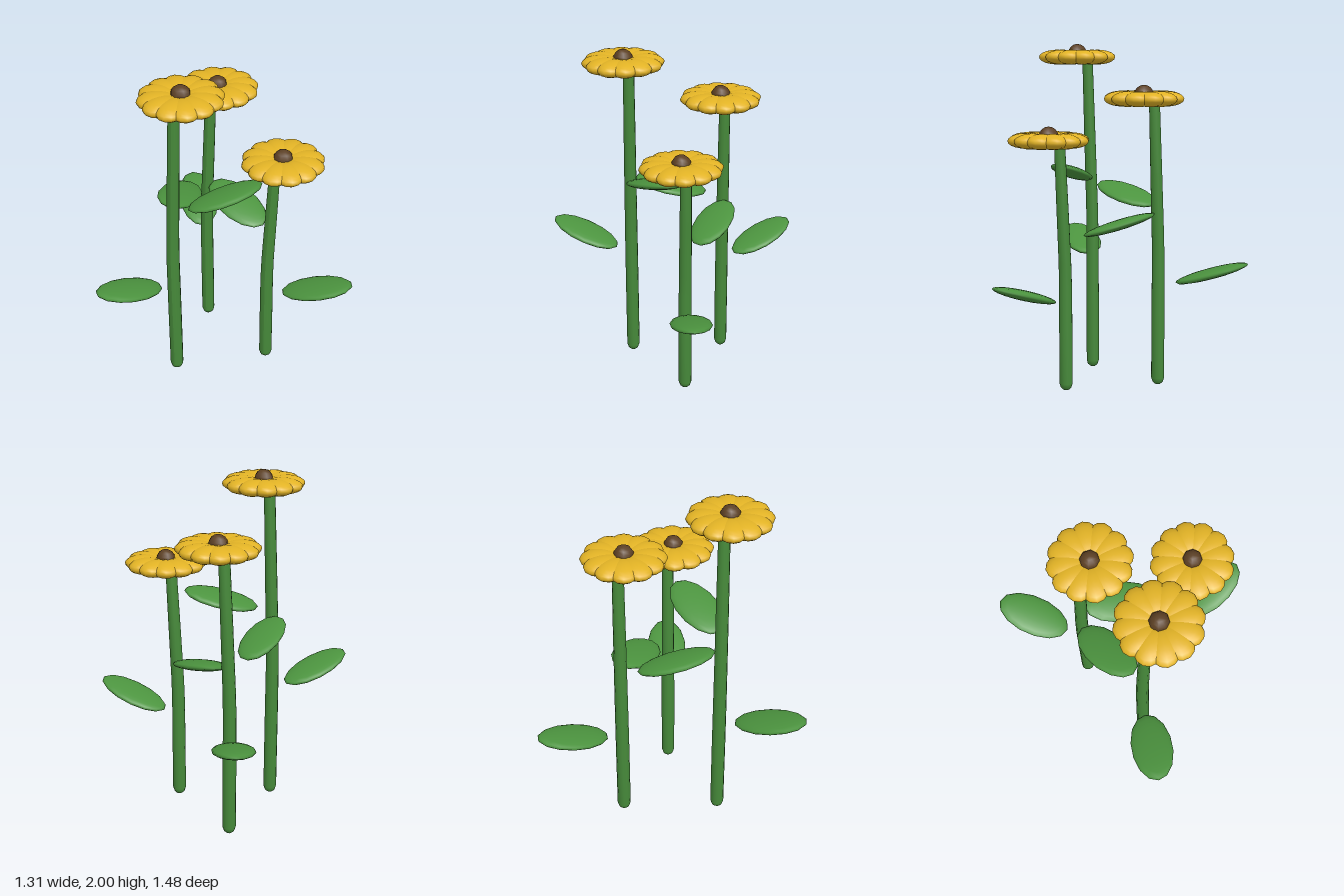
import * as THREE from 'three';

const mat = (name, color) => {
  const m = new THREE.MeshStandardMaterial({ color });
  m.name = name;
  return m;
};

export function createModel() {
  const stemGreen = mat('stemGreen', 0x46893a);
  const leafGreen = mat('leafGreen', 0x4c943f);
  const petalYellow = mat('petalYellow', 0xe2b325);
  const seedBrown = mat('seedBrown', 0x5c4024);

  const leafGeo = new THREE.SphereGeometry(1, 14, 10).scale(0.222, 0.03, 0.12);
  const petalGeo = new THREE.SphereGeometry(1, 14, 10).scale(0.11, 0.044, 0.085).translate(0.125, 0, 0);
  const centreGeo = new THREE.SphereGeometry(1, 8, 8).scale(0.056, 0.056, 0.056);

  const add = (parent, name, geo, material) => {
    const mesh = new THREE.Mesh(geo, material);
    mesh.name = name;
    parent.add(mesh);
    return mesh;
  };

  // Tapered round-ended stem, leaning to +x above its middle
  function stemGeometry(h) {
    const pts = [[0, 0], [0.017, 0.004], [0.031, 0.017], [0.039, 0.042], [0.039, h * 0.25],
      [0.038, h * 0.42], [0.037, h * 0.52], [0.035, h * 0.75], [0.032, h - 0.03], [0.022, h - 0.01], [0, h]];
    const geo = new THREE.LatheGeometry(pts.map(([r, y]) => new THREE.Vector2(r, y)), 12);
    const p = geo.attributes.position;
    for (let i = 0; i < p.count; i++) {
      const t = p.getY(i) / h;
      p.setX(i, p.getX(i) + 0.008 * t + 0.075 * Math.max(0, t - 0.47));
    }
    geo.computeVertexNormals();
    return geo;
  }

  // Leaf pair, both tilted about the same axis and turned with the plant
  function addLeaves(flower, turn, lowY, highY) {
    const leaves = new THREE.Group();
    leaves.name = 'leaves';
    leaves.rotation.y = -turn;
    flower.add(leaves);
    const specs = [['lowerLeaf', 0.313, lowY, 0, 0], ['upperLeaf', -0.195, highY, 0.16, 148]];
    for (const [name, x, y, z, azimuth] of specs) {
      const leaf = add(leaves, name, leafGeo, leafGreen);
      leaf.position.set(x, y, z);
      leaf.rotation.set(0, -THREE.MathUtils.degToRad(azimuth), 0.3, 'ZYX');
    }
  }

  // Ring of overlapping petals around a dark centre
  function addHead(flower, y) {
    const head = new THREE.Group();
    head.name = 'flowerHead';
    head.position.set(0.1, y, 0.033);
    flower.add(head);
    for (let i = 0; i < 12; i++) {
      add(head, 'petal', petalGeo, petalYellow).rotation.y = (i * Math.PI) / 6;
    }
    add(head, 'flowerCentre', centreGeo, seedBrown).position.y = 0.022;
  }

  const model = new THREE.Group();
  model.name = 'flowers';

  // Three flowers on a triangle: head, lower leaf and upper leaf heights
  const plants = [[1.46, 0.605, 1.25], [1.922, 0.765, 1.11], [1.69, 0.685, 0.97]];
  plants.forEach(([headY, lowY, highY], i) => {
    const turn = (i * Math.PI * 2) / 3;
    const flower = new THREE.Group();
    flower.name = 'flower';
    flower.position.set(-0.2 + 0.32 * Math.cos(turn), 0, 0.32 * Math.sin(turn) * 1.005);
    model.add(flower);
    add(flower, 'stem', stemGeometry(headY - 0.005), stemGreen);
    addLeaves(flower, turn, lowY, highY);
    addHead(flower, headY);
  });
  return model;
}
